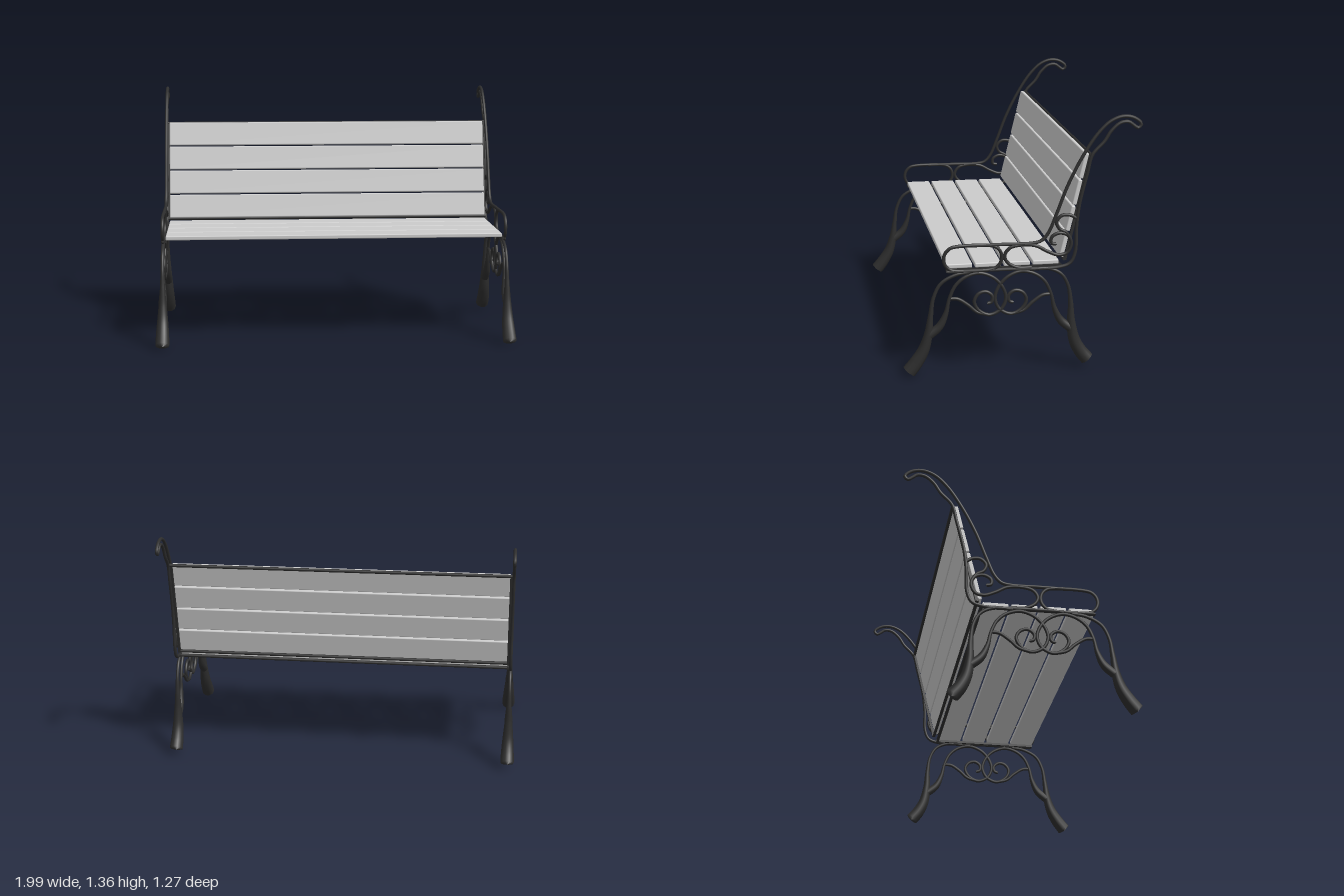
import * as THREE from 'three';
import { RoundedBoxGeometry } from 'three/addons/geometries/RoundedBoxGeometry.js';

const SIDE_X = 0.957;   // plane of each iron end frame
const ROD = 0.0092;     // iron rod radius
const iron = new THREE.MeshStandardMaterial({ color: 0x2e2e2e });
const wood = new THREE.MeshStandardMaterial({ color: 0xcccccc });

// Side-plane points [z, y] to a smooth curve
const curveOf = (pts, closed = false) => new THREE.CatmullRomCurve3(
  pts.map(([z, y]) => new THREE.Vector3(0, y, z)), closed, 'centripetal');

// Rod along a curve; radiusAt(t) gives its thickness and open ends are closed off
function rod(name, pts, { radiusAt = () => ROD, closed = false, segments = 80 } = {}) {
  const curve = curveOf(pts, closed), sides = 10;
  const geo = new THREE.TubeGeometry(curve, segments, 1, sides, closed);
  const pos = geo.attributes.position, v = new THREE.Vector3(), c = new THREE.Vector3();
  const length = curve.getLength();
  for (let i = 0; i <= segments; i++) {
    const t = i / segments;
    curve.getPointAt(t, c);
    let r = radiusAt(t, length);
    if (!closed && (i === 0 || i === segments)) r = 0;
    for (let j = 0; j <= sides; j++) {
      const k = i * (sides + 1) + j;
      v.fromBufferAttribute(pos, k).sub(c).multiplyScalar(r).add(c);
      pos.setXYZ(k, v.x, v.y, v.z);
    }
  }
  const mesh = new THREE.Mesh(geo, iron);
  mesh.name = name;
  return mesh;
}

// Mirror side-plane points front to back about the middle of the scrollwork
const flip = pts => pts.map(([z, y]) => [0.238 - z, y]);

function endFrame() {
  const g = new THREE.Group();

  // Armrest, rising into the hooked back post and returning under the seat
  g.add(rod('armAndBackFrame', [
    [0.28, 0.707], [0.1, 0.707], [-0.05, 0.707], [-0.097, 0.718], [-0.134, 0.758],
    [-0.178, 0.861], [-0.233, 1.004], [-0.306, 1.15], [-0.39, 1.278], [-0.46, 1.344],
    [-0.526, 1.367], [-0.584, 1.357], [-0.622, 1.324], [-0.606, 1.304], [-0.581, 1.319],
    [-0.555, 1.337], [-0.511, 1.333], [-0.463, 1.293], [-0.427, 1.238], [-0.364, 1.168],
    [-0.339, 1.073], [-0.299, 0.908], [-0.284, 0.78], [-0.28, 0.652], [-0.255, 0.593],
    [-0.196, 0.571], [0.1, 0.571], [0.408, 0.571]], { segments: 220 }));

  // Rounded loop at the front of the arm
  const loop = [];
  for (const [z, start] of [[0.353, -90], [0.178, 90]])
    for (let i = 0; i <= 6; i++) {
      const a = THREE.MathUtils.degToRad(start + i * 30);
      loop.push([z + 0.066 * Math.cos(a), 0.639 + 0.066 * Math.sin(a)]);
    }
  g.add(rod('armFrontLoop', loop, { closed: true }));

  // Scrolls filling the rear of the arm
  g.add(rod('armRearScroll', [
    [-0.05, 0.575], [0.031, 0.579], [0.082, 0.608], [0.097, 0.645], [0.071, 0.685],
    [0.005, 0.7], [-0.068, 0.692], [-0.13, 0.659], [-0.189, 0.637], [-0.236, 0.648],
    [-0.258, 0.7], [-0.236, 0.744], [-0.189, 0.755], [-0.152, 0.733], [-0.152, 0.703],
    [-0.181, 0.696]], { segments: 120 }));
  g.add(rod('backScroll', [
    [-0.284, 0.831], [-0.251, 0.85], [-0.207, 0.85], [-0.178, 0.817], [-0.192, 0.78],
    [-0.229, 0.758], [-0.258, 0.714]], { segments: 50 }));

  // Legs swelling toward the feet
  const legRadius = t => ROD + 0.029 * Math.pow(THREE.MathUtils.smoothstep(t, 0.3, 1), 1.2);
  g.add(rod('frontLeg', [
    [0.273, 0.564], [0.353, 0.553], [0.434, 0.509], [0.474, 0.432], [0.489, 0.341],
    [0.504, 0.231], [0.529, 0.149], [0.57, 0.081], [0.612, 0.028]], { radiusAt: legRadius }));
  g.add(rod('rearLeg', [
    [-0.03, 0.564], [-0.141, 0.564], [-0.207, 0.531], [-0.244, 0.465], [-0.258, 0.37],
    [-0.262, 0.267], [-0.28, 0.165], [-0.313, 0.099], [-0.355, 0.048]], { radiusAt: legRadius }));

  // Inner leg branches curling into spirals, with short braces
  const spiral = [
    [0.502, 0.225], [0.441, 0.278], [0.408, 0.348], [0.39, 0.425], [0.357, 0.495],
    [0.306, 0.538], [0.233, 0.557], [0.159, 0.531], [0.108, 0.476], [0.09, 0.414],
    [0.115, 0.355], [0.178, 0.326], [0.236, 0.355], [0.258, 0.403], [0.236, 0.443],
    [0.196, 0.454], [0.163, 0.429], [0.167, 0.396], [0.192, 0.388]];
  const brace = [[0.388, 0.425], [0.346, 0.421], [0.291, 0.385], [0.244, 0.344], [0.181, 0.326]];
  const branchRadius = t => ROD + 0.014 * (1 - THREE.MathUtils.smoothstep(t, 0.03, 0.2));
  for (const [end, shape] of [['front', p => p], ['rear', flip]]) {
    g.add(rod(end + 'LegScroll', shape(spiral), { radiusAt: branchRadius, segments: 140 }));
    g.add(rod(end + 'LegBrace', shape(brace), { segments: 30 }));
  }
  return g;
}

// Box whose ends lie on a side-plane line, used for the flat slat supports
function strap(name, x, [z0, y0], [z1, y1]) {
  const m = new THREE.Mesh(
    new THREE.BoxGeometry(0.014, Math.hypot(z1 - z0, y1 - y0), 0.014), iron);
  m.position.set(x, (y0 + y1) / 2, (z0 + z1) / 2);
  m.rotation.x = Math.atan2(z1 - z0, y1 - y0);
  m.name = name;
  return m;
}

export function createModel() {
  const model = new THREE.Group();
  model.name = 'parkBench';

  // End frames and slat supports on both sides
  for (const [name, s] of [['left', 1], ['right', -1]]) {
    const frame = endFrame();
    frame.name = name + 'EndFrame';
    frame.position.x = s * SIDE_X;
    model.add(frame);
    model.add(strap(name + 'SeatSupport', s * 0.943, [0.405, 0.576], [-0.21, 0.576]));
    model.add(strap(name + 'BackSupport', s * 0.943, [-0.226, 0.605], [-0.358, 1.172]));
  }

  // Cross rods tying the end frames together
  for (const [name, y, z] of [
    ['seatCrossRod', 0.577, -0.2], ['backLowerCrossRod', 0.612, -0.222], ['backUpperCrossRod', 1.168, -0.358]]) {
    const bar = new THREE.Mesh(new THREE.CylinderGeometry(ROD, ROD, 1.9, 10), iron);
    bar.rotation.z = Math.PI / 2;
    bar.position.set(0, y, z);
    bar.name = name;
    model.add(bar);
  }

  // Wooden slats: four in the seat, four in the leaning back
  const seatSlat = new RoundedBoxGeometry(1.88, 0.024, 0.14, 2, 0.006);
  const backSlat = new RoundedBoxGeometry(1.88, 0.137, 0.024, 2, 0.006);
  const low = new THREE.Vector3(0, 0.615, -0.207), high = new THREE.Vector3(0, 1.176, -0.342);
  const lean = Math.atan2(high.z - low.z, high.y - low.y);
  for (let i = 0; i < 4; i++) {
    const seat = new THREE.Mesh(seatSlat, wood);
    seat.position.set(0, 0.594, 0.335 - i * 0.1535);
    seat.name = 'seatSlat' + (i + 1);
    const back = new THREE.Mesh(backSlat, wood);
    back.position.lerpVectors(low, high, (i + 0.5) / 4);
    back.rotation.x = lean;
    back.name = 'backSlat' + (i + 1);
    model.add(seat, back);
  }
  return model;
}
